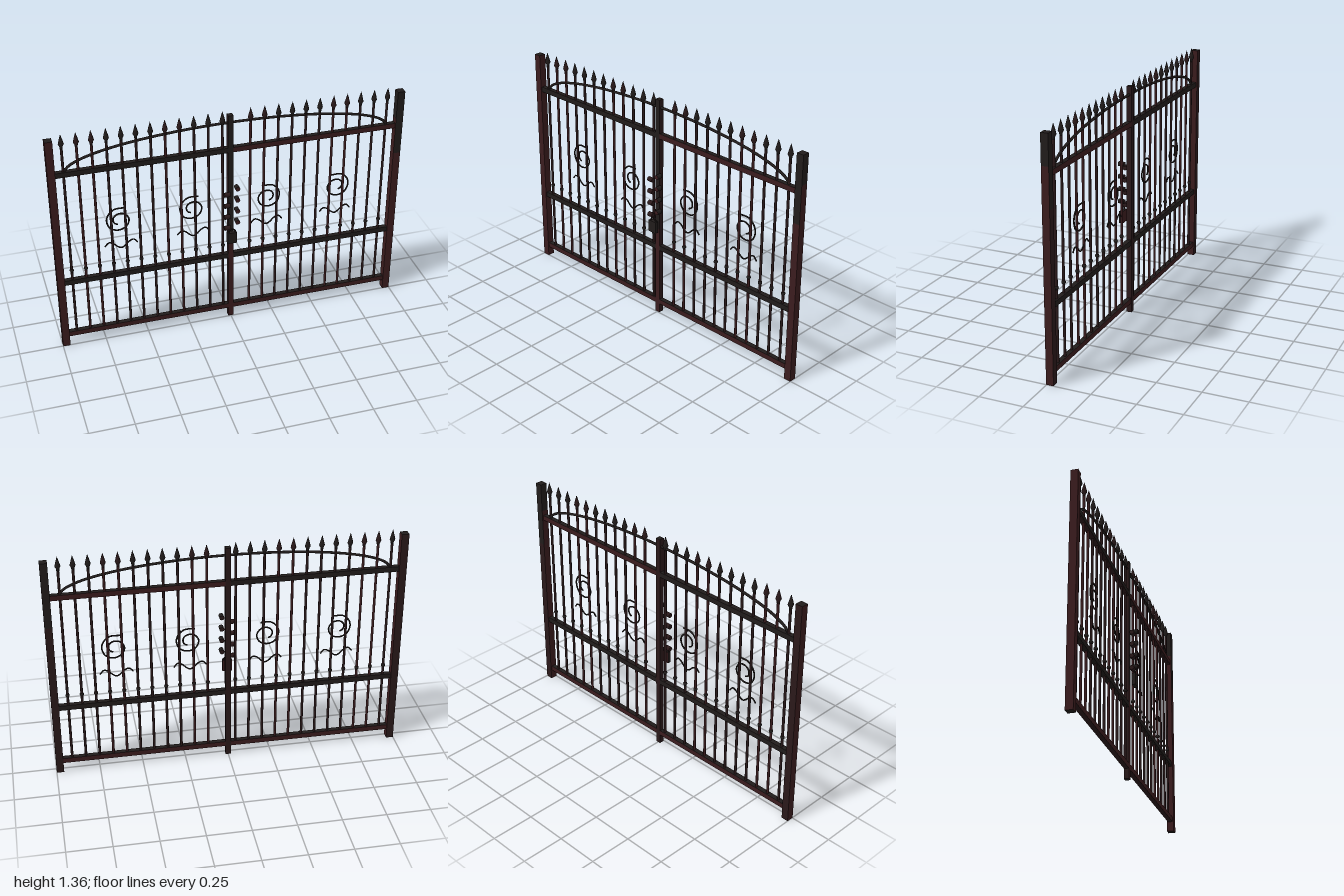
import * as THREE from 'three';

const Z = -0.018; // plane of the gate

function material(name, color) {
  const m = new THREE.MeshStandardMaterial({ color });
  m.name = name;
  return m;
}

export function createModel() {
  const gate = new THREE.Group();
  gate.name = 'doubleGate';
  const rust = material('rustyIron', 0x3b1c1e);
  const black = material('blackIron', 0x211c1b);
  const dark = material('darkRedIron', 0x2a191a);

  const add = (name, geometry, mat, x = 0, y = 0, z = Z) => {
    const mesh = new THREE.Mesh(geometry, mat);
    mesh.name = name;
    mesh.position.set(x, y, z);
    gate.add(mesh);
    return mesh;
  };
  const box = (name, mat, w, h, d, x, y, z = Z) =>
    add(name, new THREE.BoxGeometry(w, h, d), mat, x, y, z);
  // Face materials: sides, top, bottom, front, back
  const faces = (side, top, bottom, front, back) => [side, side, top, bottom, front, back];
  const tube = (points, segments, radius) =>
    new THREE.TubeGeometry(new THREE.CatmullRomCurve3(points), segments, radius, 8);
  // Post in stacked sections, each given as [bottom, top, materials]
  const post = (name, x, width, sections) => sections.forEach(([y0, y1, mat]) =>
    box(name, mat, width, y1 - y0, width, x, (y0 + y1) / 2));

  // Posts, weathered darker towards the top
  post('rightPost', -0.979, 0.042, [[0, 1.337, faces(rust, black, black, rust, dark)]]);
  post('leftPost', 0.979, 0.042, [
    [0, 0.95, faces(rust, black, black, rust, dark)],
    [0.95, 1.17, faces(rust, black, black, black, black)],
    [1.17, 1.337, faces(black, black, black, black, black)],
  ]);
  post('centrePost', 0, 0.03, [
    [0, 0.55, faces(dark, black, black, rust, dark)],
    [0.55, 1.337, faces(dark, black, black, black, dark)],
  ]);

  // Rails, one per leaf, with black upper faces
  for (const s of [-1, 1]) {
    const x = s * 0.487;
    const topMain = s < 0 ? black : rust;
    box('topRail', faces(dark, black, dark, topMain, topMain), 0.945, 0.03, 0.028, x, 1.125);
    box('middleRail', black, 0.945, 0.03, 0.028, x, 0.43);
    box('bottomRail', faces(rust, black, dark, rust, rust), 0.945, 0.03, 0.028, x, 0.073);
  }

  // Upright bars with collars and spear heads; some pairs are rustier
  const barGeo = new THREE.CylinderGeometry(0.0075, 0.0075, 1.22, 8);
  const collarGeo = new THREE.SphereGeometry(0.012, 10, 8);
  const spearGeo = new THREE.LatheGeometry(
    [[0, 0], [0.008, 0], [0.009, 0.012], [0.016, 0.026], [0.01, 0.05], [0, 0.085]]
      .map(([x, y]) => new THREE.Vector2(x, y)), 8);
  for (let i = 0; i < 24; i++) {
    if (i === 12) continue; // gap beside the centre post
    const x = -0.912 + i * 0.079;
    const rusty = i % 6 === 1 || i % 6 === 2;
    add('bar', barGeo, rusty ? rust : dark, x, 0.68);
    add('barCollar', collarGeo, black, x, 0.503);
    add('spearHead', spearGeo, rusty ? dark : black, x, 1.279);
  }

  // Arched top bar
  const arch = [];
  for (let i = 0; i <= 32; i++) {
    const a = Math.PI * (1 - i / 32);
    arch.push(new THREE.Vector3(0.908 * Math.cos(a), 1.13 + 0.16 * Math.sin(a), 0));
  }
  add('topArch', tube(arch, 96, 0.0075), black);

  // Scrolls and waves, mirrored on the two leaves
  const radii = [[62, 0.087], [105, 0.077], [145, 0.069], [180, 0.064], [225, 0.063], [270, 0.062],
    [315, 0.062], [360, 0.06], [405, 0.052], [450, 0.042], [495, 0.034], [540, 0.027],
    [580, 0.025], [620, 0.024]];
  const wave = [[-0.092, 0.622], [-0.07, 0.643], [-0.045, 0.634], [-0.02, 0.61], [0, 0.6],
    [0.02, 0.61], [0.045, 0.634], [0.07, 0.643], [0.092, 0.62]];
  for (const s of [-1, 1]) {
    const scrollGeo = tube(radii.map(([deg, r]) => {
      const a = THREE.MathUtils.degToRad(deg);
      return new THREE.Vector3(-s * r * Math.cos(a), r * Math.sin(a), 0);
    }), 80, 0.0045);
    const waveGeo = tube(wave.map(([x, y]) => new THREE.Vector3(x, y, 0)), 40, 0.0042);
    for (const x of [0.224, 0.636]) {
      add('scroll', scrollGeo, black, s * x, 0.78);
      add('wave', waveGeo, black, s * (x - 0.01), 0);
    }
  }

  // Chain of short links, alternately along z and along x
  const linkGeo = new THREE.CylinderGeometry(0.014, 0.014, 0.034, 8);
  for (let i = 0; i < 4; i++) {
    const y = 0.895 - i * 0.073;
    add('chainLinkLeft', linkGeo, [black, rust, dark], 0.029, y, 0.02).rotation.x = Math.PI / 2;
    add('chainLinkRight', linkGeo, dark, -0.028, y - 0.036, 0.02).rotation.z = Math.PI / 2;
  }

  // Padlock
  box('padlockBody', faces(black, black, black, black, rust),
    0.054, 0.07, 0.022, -0.003, 0.577, 0.027);
  add('padlockShackle', new THREE.TorusGeometry(0.019, 0.004, 8, 16, Math.PI),
    black, -0.003, 0.612, 0.027);

  return gate;
}
